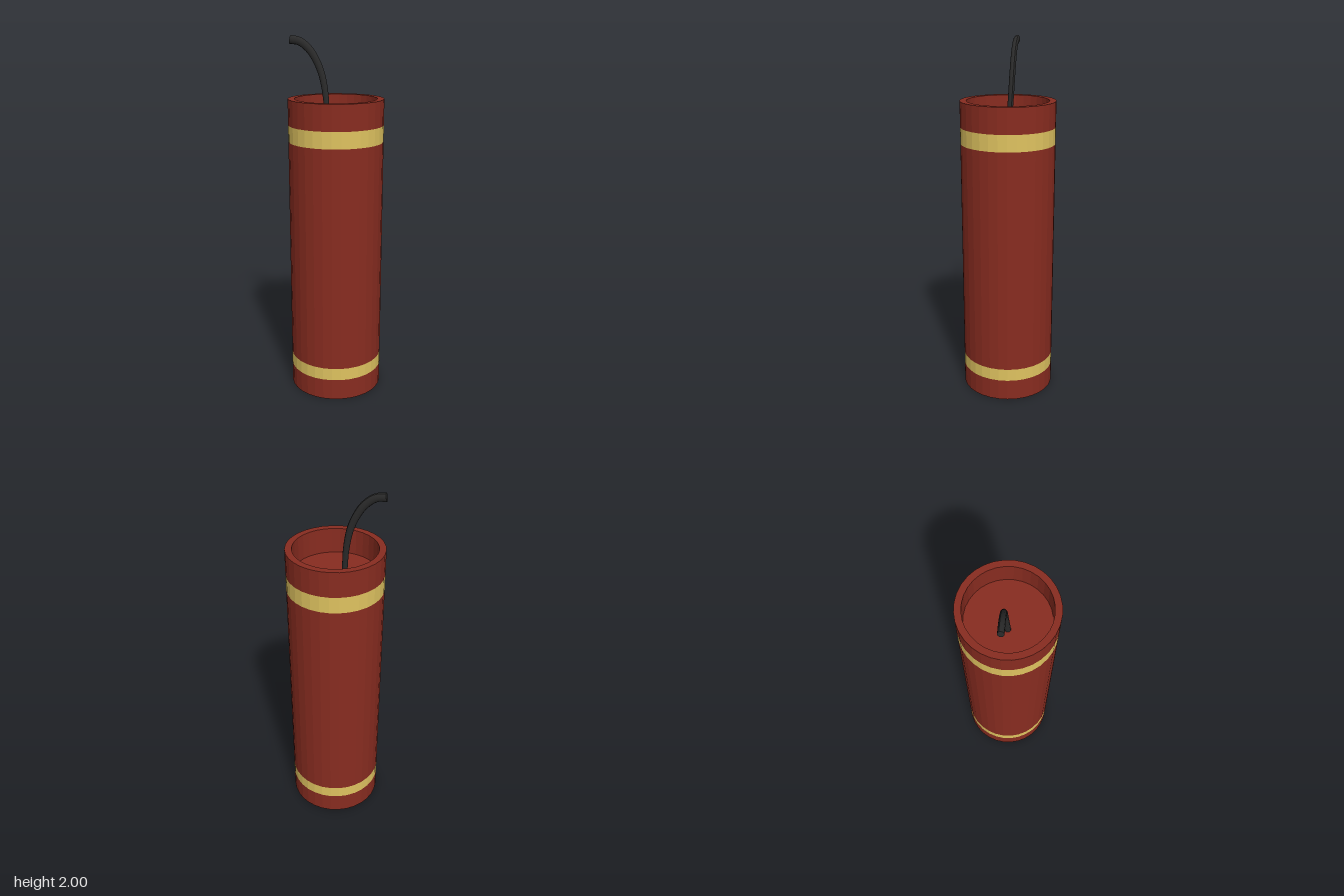
import * as THREE from 'three';

const R = 0.26, INNER = 0.224, HEIGHT = 1.67;

export function createModel() {
  const group = new THREE.Group();
  const red = new THREE.MeshStandardMaterial({ color: 0x882c20, flatShading: true });
  const yellow = new THREE.MeshStandardMaterial({ color: 0xdfc360, flatShading: true });
  const black = new THREE.MeshStandardMaterial({ color: 0x2a2a2a });

  const add = (name, geometry, material) => {
    const mesh = new THREE.Mesh(geometry, material);
    mesh.name = name;
    group.add(mesh);
    return mesh;
  };
  const lathe = (name, profile, material) =>
    add(name, new THREE.LatheGeometry(profile.map(([r, y]) => new THREE.Vector2(r, y)), 32), material);

  // Paper tube: recessed ends, and two flush bands between the red sections
  lathe('bottomEnd', [[0, 0.16], [INNER, 0.16], [INNER, 0], [R, 0], [R, 0.12]], red);
  lathe('lowerBand', [[R, 0.12], [R, 0.19]], yellow);
  lathe('body', [[R, 0.19], [R, 1.44]], red);
  lathe('upperBand', [[R, 1.44], [R, 1.53]], yellow);
  lathe('topEnd', [[R, 1.53], [R, HEIGHT], [INNER, HEIGHT], [INNER, 1.53], [0, 1.53]], red);

  // Fuse: rises from the recessed top, then bends over to the back right
  const curve = new THREE.CatmullRomCurve3([
    [-0.043, 1.52, -0.022], [-0.046, 1.67, -0.035], [-0.063, 1.79, -0.05],
    [-0.093, 1.875, -0.069], [-0.125, 1.928, -0.088], [-0.17, 1.967, -0.115],
    [-0.213, 1.975, -0.141],
  ].map((p) => new THREE.Vector3(...p)));
  const steps = 28, sides = 12, width = 0.016;
  const depth = (t) => 0.014 + 0.009 * t;
  const fuse = new THREE.TubeGeometry(curve, steps, 1, sides);
  const across = new THREE.Vector3(0.51, 0, -0.86);
  const pos = fuse.attributes.position;
  const v = new THREE.Vector3();
  // Squeeze each ring to an oval that deepens towards the tip
  for (let i = 0; i < pos.count; i++) {
    const t = Math.floor(i / (sides + 1)) / steps;
    const centre = curve.getPointAt(t);
    v.fromBufferAttribute(pos, i).sub(centre);
    const side = v.dot(across);
    v.addScaledVector(across, -side).multiplyScalar(depth(t));
    v.addScaledVector(across, side * width).add(centre);
    pos.setXYZ(i, v.x, v.y, v.z);
  }
  fuse.computeVertexNormals();
  add('fuse', fuse, black);

  // Flat cut end of the fuse
  const tip = add('fuseTip', new THREE.CircleGeometry(1, sides), black);
  tip.position.copy(curve.getPointAt(1));
  tip.lookAt(curve.getPointAt(1).add(curve.getTangentAt(1)));
  tip.scale.set(width, depth(1), 1);

  return group;
}
